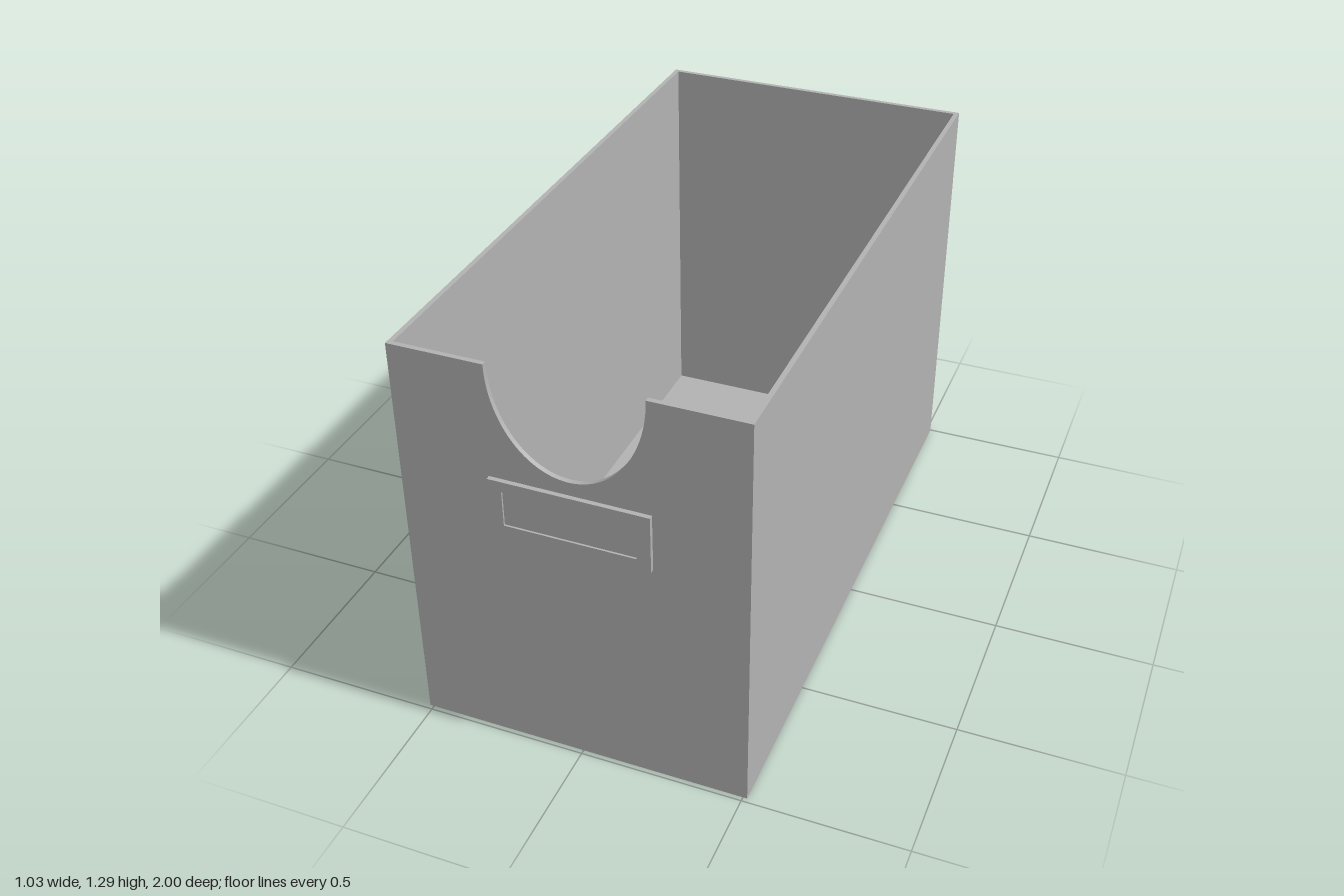
import * as THREE from 'three';

const W = 0.513, H = 1.29, T = 0.015; // half width, height, wall thickness
const BACK = -1, FRONT = 0.986;

export function createModel() {
  const model = new THREE.Group();
  model.name = 'storageBox';
  const grey = new THREE.MeshStandardMaterial({ color: 0xb2b2b2 });
  grey.name = 'grey';

  const add = (name, geometry, x, y, z) => {
    const mesh = new THREE.Mesh(geometry, grey);
    mesh.name = name;
    mesh.position.set(x, y, z);
    model.add(mesh);
  };

  // Floor, back and side walls
  const depth = FRONT - BACK, midZ = (FRONT + BACK) / 2;
  const innerDepth = depth - 2 * T, innerWidth = 2 * (W - T);
  add('floor', new THREE.BoxGeometry(innerWidth, T, innerDepth), 0, T / 2, midZ);
  add('backWall', new THREE.BoxGeometry(2 * W, H, T), 0, H / 2, BACK + T / 2);
  for (const side of [-1, 1]) {
    add(side > 0 ? 'leftWall' : 'rightWall',
      new THREE.BoxGeometry(T, H, innerDepth), side * (W - T / 2), H / 2, midZ);
  }

  // Front wall with a half-oval hand cutout in its top edge
  const front = new THREE.Shape();
  front.moveTo(-W, 0);
  front.lineTo(W, 0);
  front.lineTo(W, H);
  front.lineTo(0.227, H);
  front.absellipse(0, H, 0.227, 0.313, 0, Math.PI, true, 0);
  front.lineTo(-W, H);
  front.closePath();
  add('frontWall', new THREE.ExtrudeGeometry(front, { depth: T, bevelEnabled: false, curveSegments: 48 }),
    0, 0, FRONT - T);

  // Label holder: a raised rectangular frame with an open window
  const rect = (path, w, h) => {
    path.moveTo(-w, -h);
    path.lineTo(w, -h);
    path.lineTo(w, h);
    path.lineTo(-w, h);
    path.closePath();
    return path;
  };
  const frame = rect(new THREE.Shape(), 0.237, 0.09);
  frame.holes.push(rect(new THREE.Path(), 0.196, 0.056));
  add('labelFrame', new THREE.ExtrudeGeometry(frame, { depth: 1 - FRONT, bevelEnabled: false }),
    0, 0.845, FRONT);
  // Card held in the frame
  add('labelCard', new THREE.BoxGeometry(0.392, 0.112, 0.008), 0, 0.845, FRONT + 0.004);

  return model;
}
